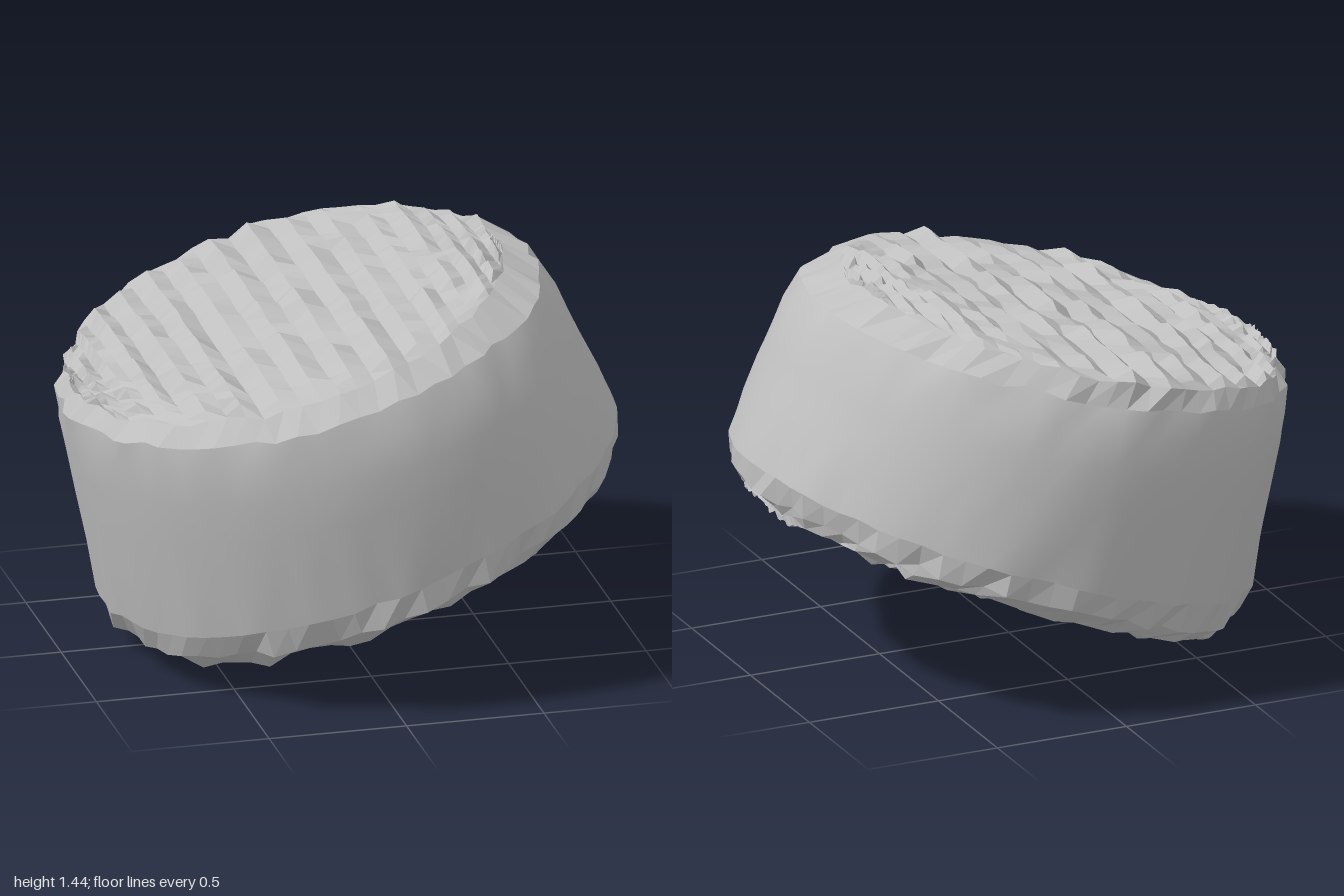
import * as THREE from 'three';
import { mergeVertices } from 'three/addons/utils/BufferGeometryUtils.js';

const SEGMENTS = 72, HALF = SEGMENTS / 2, ROWS = 30;

// Tilted rings from base to top: left x,y, right x,y, half depth, centre z, roughness
const RINGS = [
  [-0.70, 0.025, 0.96, 0.66, 0.85, 0.00, 0.03],
  [-0.79, 0.07, 0.985, 0.70, 0.91, 0.00, 0.025],
  [-0.84, 0.16, 0.99, 0.79, 0.93, 0.00, 0.012],
  [-0.88, 0.34, 0.935, 0.92, 0.935, 0.00, 0.002],
  [-0.92, 0.53, 0.88, 1.03, 0.935, 0.00, 0.002],
  [-0.955, 0.69, 0.83, 1.13, 0.93, 0.00, 0.002],
  [-0.98, 0.82, 0.78, 1.24, 0.91, 0.00, 0.004],
  [-0.985, 0.90, 0.71, 1.33, 0.87, 0.00, 0.018],
  [-0.95, 0.965, 0.58, 1.395, 0.80, -0.02, 0.022],
];

// Repeatable noise in -1..1
function noise(a, b) {
  const s = Math.sin(a * 127.1 + b * 311.7) * 43758.5453;
  return 2 * (s - Math.floor(s)) - 1;
}

function ringPoint(k, i) {
  i = i % SEGMENTS;
  const [lx, ly, rx, ry, depth, cz, rough] = RINGS[k];
  const angle = (i / SEGMENTS) * Math.PI * 2;
  const r = 1 + rough * noise(k + 1, i);
  const c = Math.cos(angle) * r / 2;
  return new THREE.Vector3(
    (lx + rx) / 2 + (rx - lx) * c,
    (ly + ry) / 2 + (ry - ly) * c + rough * 0.6 * noise(i, k + 20),
    cz + depth * Math.sin(angle) * r,
  );
}

// Patch of quads over a rule giving a point for each row and column
function patch(point, nu, nv, smooth, flip = false) {
  const positions = [];
  const triangle = (a, b, c) => {
    for (const p of flip ? [a, c, b] : [a, b, c]) positions.push(p.x, p.y, p.z);
  };
  for (let u = 0; u < nu; u++) {
    for (let v = 0; v < nv; v++) {
      const a = point(u, v), b = point(u + 1, v), c = point(u, v + 1), d = point(u + 1, v + 1);
      triangle(a, b, c);
      triangle(b, d, c);
    }
  }
  let geometry = new THREE.BufferGeometry();
  geometry.setAttribute('position', new THREE.Float32BufferAttribute(positions, 3));
  if (smooth) geometry = mergeVertices(geometry, 1e-4);
  geometry.computeVertexNormals();
  return geometry;
}

// Rough face with ridges running front to back, meeting the rim exactly
function capPoint(k, i, j, bulge) {
  const t = j / ROWS;
  const p = ringPoint(k, SEGMENTS - i).lerp(ringPoint(k, i), t);
  if (i === 0 || i === HALF || j === 0 || j === ROWS) return p;
  const [lx, ly, rx, ry] = RINGS[k];
  const normal = new THREE.Vector3(ly - ry, rx - lx, 0).normalize();
  const dome = Math.sin((i / HALF) * Math.PI) * Math.sin(t * Math.PI);
  const ridge = (i % 2 ? 1 : -1) * 0.011 + 0.014 * noise(i + 3 * k, Math.floor(j / 2));
  return p.addScaledVector(normal, bulge * Math.sqrt(dome) + ridge);
}

export function createModel() {
  const stone = new THREE.MeshStandardMaterial({ color: 0xbfbfbf });
  stone.name = 'grey';
  const group = new THREE.Group();
  group.name = 'tiltedPuck';
  const add = (name, geometry) => {
    const mesh = new THREE.Mesh(geometry, stone);
    mesh.name = name;
    group.add(mesh);
  };
  const band = (from, to, smooth) =>
    patch((u, v) => ringPoint(from + u, v), to - from, SEGMENTS, smooth);

  // Smooth wall between two chipped rims
  add('lowerRim', band(0, 2, false));
  add('wall', band(2, 7, true));
  add('upperRim', band(7, 8, false));

  // Rough top and underside
  const top = RINGS.length - 1;
  add('topFace', patch((i, j) => capPoint(top, i, j, 0.035), HALF, ROWS, false));
  add('underside', patch((i, j) => capPoint(0, i, j, -0.02), HALF, ROWS, false, true));
  return group;
}
